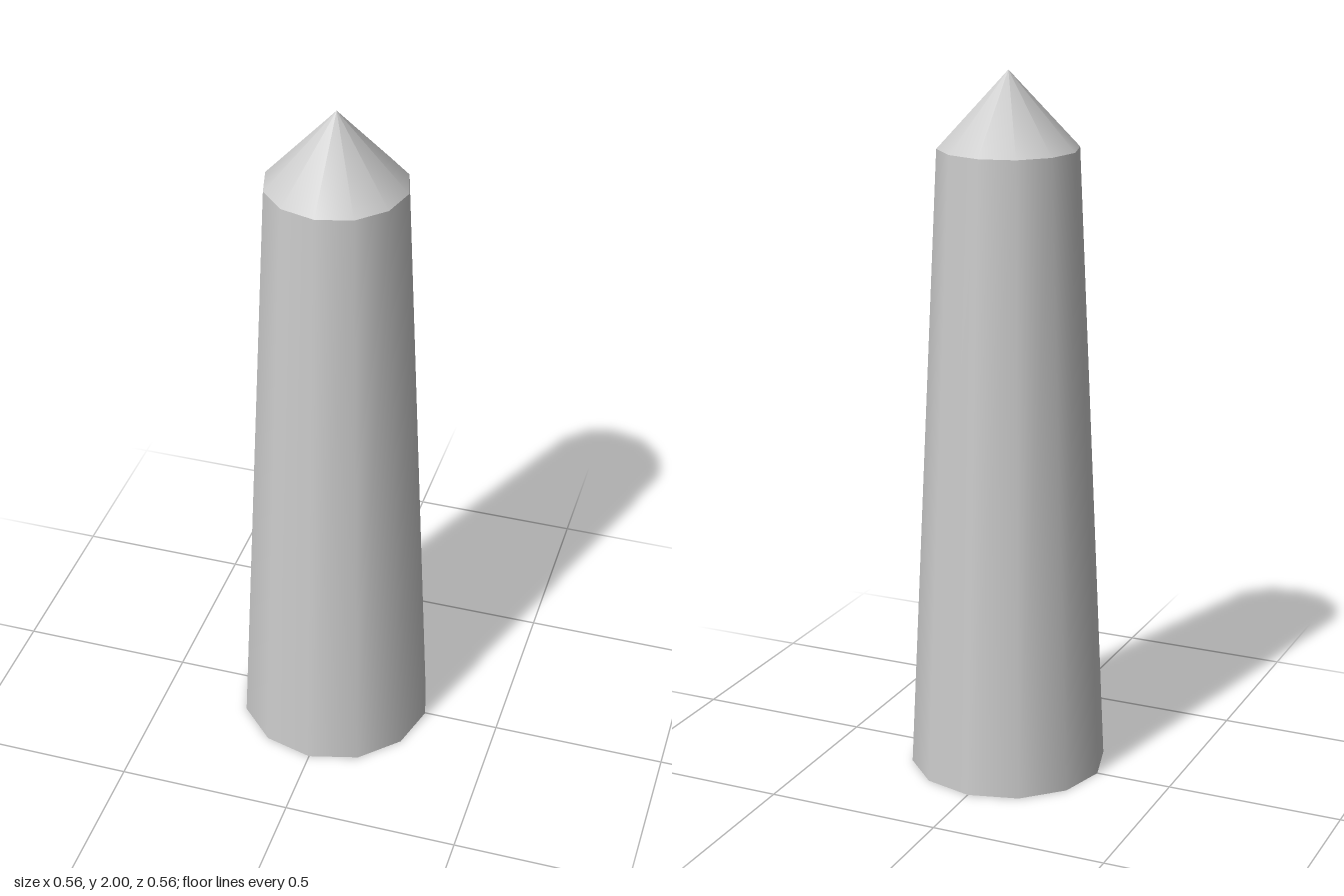
import * as THREE from 'three';

const SIDES = 12;
const SHOULDER_Y = 1.79;
const HEIGHT = 2;
const BASE_RADIUS = 0.28;
const SHOULDER_RADIUS = 0.195;

export function createModel() {
  const group = new THREE.Group();
  group.name = 'pointedPost';
  const material = new THREE.MeshStandardMaterial({ color: 0xcccccc });

  const addPart = (name, geometry, y) => {
    const mesh = new THREE.Mesh(geometry, material);
    mesh.name = name;
    mesh.position.y = y;
    group.add(mesh);
  };

  // Tapered shaft, open at the top where the tip sits
  addPart('shaft', new THREE.CylinderGeometry(SHOULDER_RADIUS, BASE_RADIUS, SHOULDER_Y, SIDES, 1, true), SHOULDER_Y / 2);

  // Flat underside
  const base = new THREE.CircleGeometry(BASE_RADIUS, SIDES).rotateX(Math.PI / 2);
  addPart('base', base, 0);

  // Conical tip
  const tipHeight = HEIGHT - SHOULDER_Y;
  addPart('tip', new THREE.ConeGeometry(SHOULDER_RADIUS, tipHeight, SIDES, 1, true), SHOULDER_Y + tipHeight / 2);

  return group;
}
